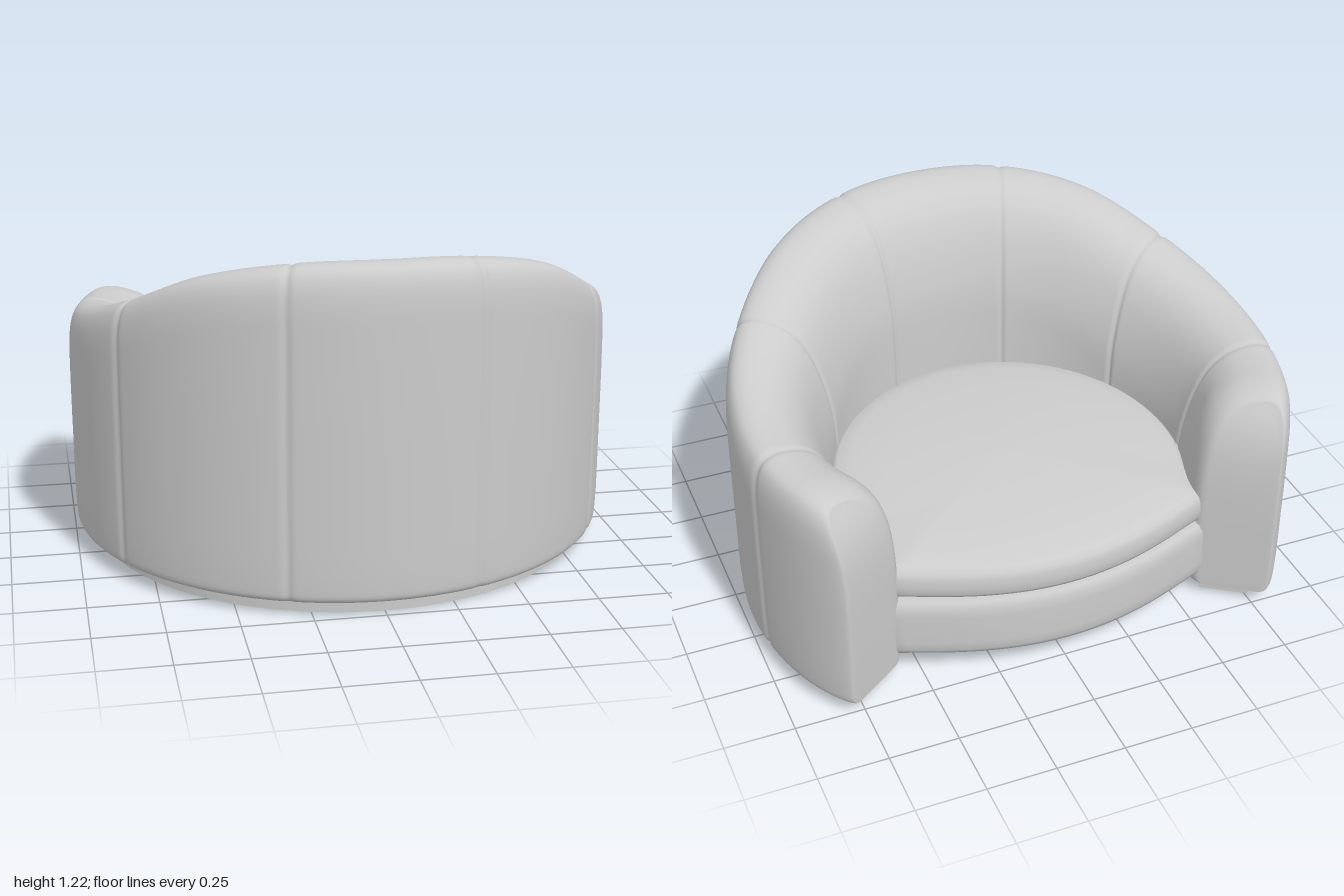
import * as THREE from 'three';

const CZ = -0.22; // centre of the round plan
const { degToRad: rad, lerp, smoothstep } = THREE.MathUtils;
const material = new THREE.MeshStandardMaterial({ color: 0xcccccc, side: THREE.DoubleSide });

function addMesh(group, name, geometry) {
  const mesh = new THREE.Mesh(geometry, material);
  mesh.name = name;
  group.add(mesh);
}

// Skin a list of closed rings, each an array of Vector3
function loft(rings) {
  const n = rings[0].length, index = [];
  for (let j = 0; j < rings.length - 1; j++) {
    for (let i = 0; i < n; i++) {
      const k = (i + 1) % n;
      const a = j * n + i, b = a + n, c = (j + 1) * n + k, d = j * n + k;
      index.push(a, b, c, a, c, d);
    }
  }
  const geometry = new THREE.BufferGeometry().setFromPoints(rings.flat());
  geometry.setIndex(index);
  geometry.computeVertexNormals();
  return geometry;
}

// Height of the rim by angle from the middle of the back (every 20 degrees)
const half = [1.207, 1.143, 1.015, 0.92, 0.868, 0.86, 0.86];
const rim = new THREE.SplineCurve(
  [...half.slice().reverse(), 1.22, ...half].map((h, i) => new THREE.Vector2(i, h)));
const rimHeight = deg => rim.getPoint((deg + 140) / 280).y;

// Padded wall section: up the outside, over the rim, down the inside.
// box 0..1 makes the inner side more upright
function section(h, box) {
  const pts = [
    [0.9, 0.05], [0.965, 0.051], [0.988, 0.065], [0.994, 0.1], [0.997, 0.35],
    [0.997, h - 0.2], [0.994, h - 0.12], [0.984, h - 0.06], [0.962, h - 0.018], [0.92, h],
    [0.86 - 0.02 * box, h - 0.006], [0.8 - 0.035 * box, h - 0.031],
    [0.74 - 0.04 * box, h - 0.09], [0.69 - 0.03 * box, h - 0.19],
    [0.65 - 0.01 * box, h - 0.34], [0.635, h - 0.48], [0.635, 0.11], [0.65, 0.056], [0.7, 0.05],
  ].map(([r, y]) => new THREE.Vector3(r, y, 0));
  return new THREE.CatmullRomCurve3(pts, false, 'centripetal').getPoints(54);
}

// One wall ring: cap 0..1 rounds the arm end, close 0..1 shuts its face
function wallRing(deg, cap = 0, close = 0) {
  let groove = 0;
  for (const s of [19.7, 59.5, 99]) groove += Math.exp(-1.5 * (Math.abs(deg) - s) ** 2);
  const a = cap * Math.PI / 2, inset = 1 - Math.cos(a);
  const h = rimHeight(deg) - 0.006 * groove;
  const box = smoothstep(Math.abs(deg) + 12 * Math.sin(a), 92, 120);
  return section(h, box).map(p => {
    let r = 0.82 + (p.x - 0.82) * (1 - 0.04 * groove);
    r = lerp(lerp(r, 0.9, 0.3 * inset), 0.84, close);
    const py = lerp(p.y, 0.45, close);
    const t = (py - 0.05) / (h - 0.05);
    const y = 0.05 + (py - 0.05) * (1 - 0.05 * inset);
    const lean = 5.5 * Math.sin(a) * Math.max(t, 0) ** 6.5;
    const th = rad(deg + Math.sign(deg) * (15 * Math.sin(a) - lean));
    return new THREE.Vector3(r * Math.sin(th), y, CZ + r * Math.cos(th));
  });
}

function wall() {
  const end = side => {
    const rings = [];
    for (let i = 1; i <= 14; i++) rings.push(wallRing(110 * side, i / 14));
    for (let i = 1; i <= 10; i++) rings.push(wallRing(110 * side, 1, i / 10));
    return rings;
  };
  const rings = end(-1).reverse();
  for (let d = -110; d <= 110; d += 0.5) rings.push(wallRing(d));
  return loft([...rings, ...end(1)]);
}

// Seat plan: round at the back, shallow bowed front
function seatOutline() {
  const pts = [];
  for (let d = 108; d >= -108; d -= 4) {
    pts.push([0.67 * Math.sin(rad(d)), CZ + 0.67 * Math.cos(rad(d))]);
  }
  pts.push([-0.625, -0.52], [-0.618, -0.6]);
  for (let i = -12; i <= 12; i++) {
    const u = i / 12;
    pts.push([0.605 * u, -0.63 - 0.15 * (1 - u * u) ** 1.15]);
  }
  pts.push([0.618, -0.6], [0.625, -0.52]);
  return pts;
}

// Seat layer from [scale, height] steps, with an optional backward rise
function seatLayer(steps, rise = 0) {
  const outline = seatOutline();
  return loft(steps.map(([k, y]) => outline.map(([x, z]) => {
    const pz = -0.2 + (z + 0.2) * k;
    return new THREE.Vector3(x * k, y + rise * (pz + 0.2), pz);
  })));
}

// Plinth under the wall
function plinth() {
  const shape = new THREE.Shape();
  const a0 = rad(-33.3), a1 = rad(213.3);
  shape.absarc(0, -0.2, 0.91, a0, a1, false);
  shape.absarc(0, -0.2, 0.73, a1, a0, true);
  const geometry = new THREE.ExtrudeGeometry(shape, { depth: 0.06, bevelEnabled: false, curveSegments: 40 });
  return geometry.rotateX(Math.PI / 2).translate(0, 0.06, 0);
}

export function createModel() {
  const group = new THREE.Group();
  group.name = 'tubArmchair';
  addMesh(group, 'backAndArms', wall());
  addMesh(group, 'seatBase', seatLayer([
    [0, 0.09], [0.5, 0.09], [0.95, 0.09], [0.98, 0.096], [0.995, 0.115], [1, 0.15],
    [1, 0.26], [0.993, 0.295], [0.975, 0.318], [0.94, 0.33], [0, 0.33],
  ]));
  addMesh(group, 'seatCushion', seatLayer([
    [0, 0.36], [0.93, 0.36], [0.96, 0.367], [0.972, 0.382], [0.976, 0.41],
    [0.972, 0.44], [0.96, 0.462], [0.93, 0.477], [0.85, 0.49], [0.65, 0.508],
    [0.3, 0.524], [0, 0.528],
  ], 0.06));
  addMesh(group, 'plinth', plinth());
  return group;
}
